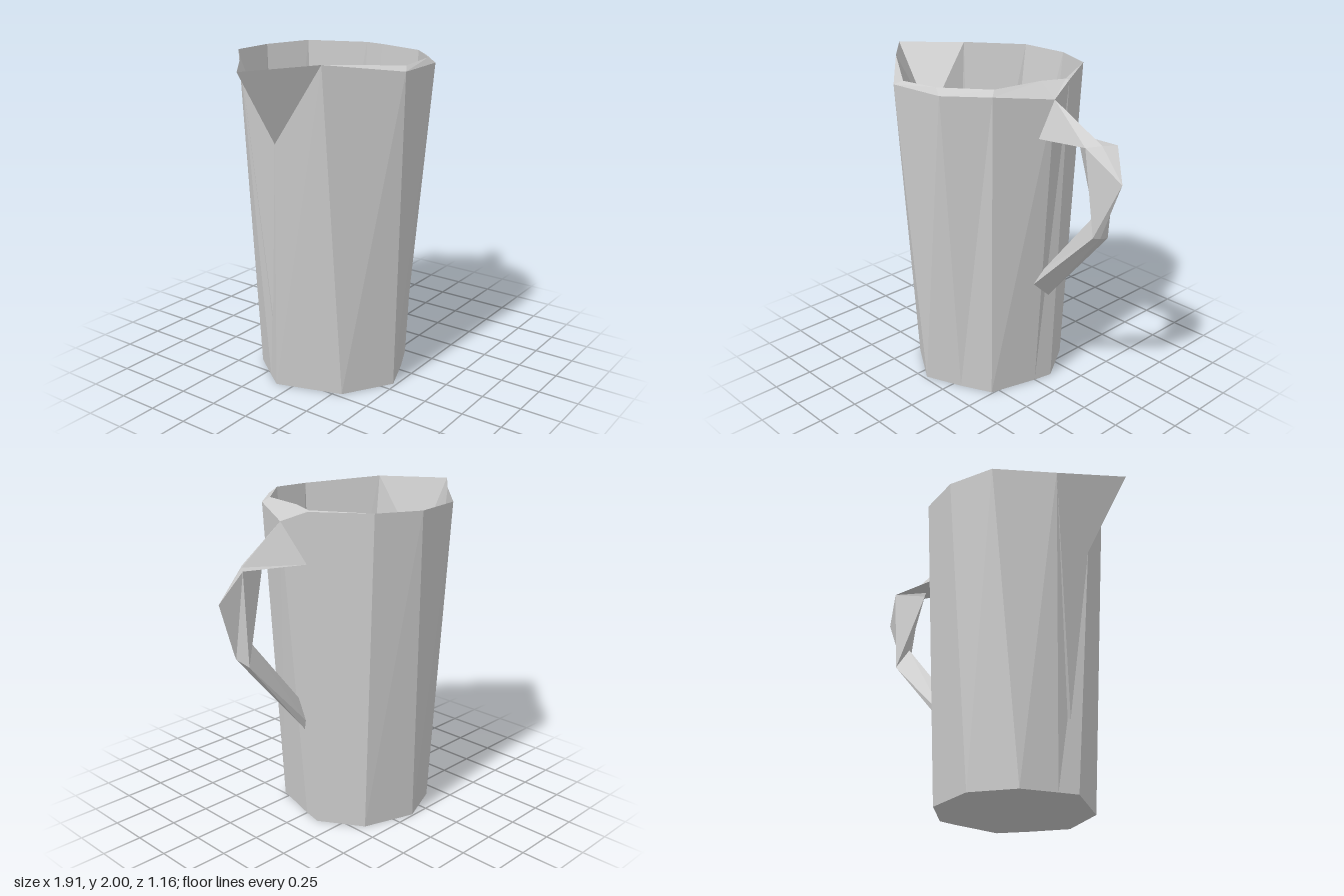
import * as THREE from 'three';

const material = new THREE.MeshStandardMaterial({ color: 0xcccccc, flatShading: true, side: THREE.DoubleSide });

function meshFrom(name, positions) {
  const geometry = new THREE.BufferGeometry();
  geometry.setAttribute('position', new THREE.Float32BufferAttribute(positions, 3));
  geometry.computeVertexNormals();
  const mesh = new THREE.Mesh(geometry, material);
  mesh.name = name;
  return mesh;
}

// Joins successive closed rings of [x, y, z] points with flat facets.
function loft(name, rings) {
  const positions = [];
  for (let r = 0; r < rings.length - 1; r++) {
    const n = rings[r].length;
    for (let i = 0; i < n; i++) {
      const j = (i + 1) % n;
      const a = rings[r][i], b = rings[r][j], c = rings[r + 1][j], d = rings[r + 1][i];
      positions.push(...a, ...b, ...c, ...a, ...c, ...d);
    }
  }
  return meshFrom(name, positions);
}

export function createModel() {
  const group = new THREE.Group();
  group.name = 'jug';

  // Outer rim, starting behind the spout and running round by the back and handle;
  // the last point is the low notch under the spout.
  const rim = [
    [-0.63, 1.99, -0.28], [-0.34, 1.98, -0.555], [-0.04, 1.975, -0.585], [0.23, 1.98, -0.47],
    [0.42, 1.97, -0.14], [0.47, 1.90, 0.03], [0.32, 1.945, 0.36], [0.10, 1.945, 0.55],
    [-0.26, 1.945, 0.58], [-0.62, 2.0, 0.28], [-0.67, 1.54, -0.01],
  ];
  // Inner lip, which only leaves the outer rim along the front and the handle side.
  const lip = rim.map((p) => [...p]);
  lip[4] = [0.40, 1.975, -0.13];
  lip[5] = [0.35, 1.98, 0.02];
  lip[6] = [0.29, 1.975, 0.32];
  lip[7] = [0.05, 1.98, 0.53];
  lip[8] = [-0.21, 1.97, 0.55];

  // Base corners and the slightly smaller floor inside.
  const base = [
    [-0.53, 0, -0.20], [-0.40, 0, -0.38], [-0.13, 0, -0.49], [0.19, 0, -0.38],
    [0.35, 0, -0.12], [0.325, 0, 0.0], [0.24, 0, 0.30], [0.05, 0, 0.39],
    [-0.18, 0, 0.48], [-0.47, 0, 0.30], [-0.60, 0, -0.10],
  ];
  const centre = (y) => base.map(() => [-0.13, y, 0]);
  const floor = base.map(([x, , z]) => [-0.13 + (x + 0.13) * 0.93, 0.03, z * 0.93]);

  // Floor, inner wall, lip, outer wall and underside in one skin.
  group.add(loft('body', [centre(0.03), floor, lip, rim, base, centre(0)]));

  // Pouring spout: two facets meeting in a keel.
  const tip = [-0.96, 1.98, -0.01], notch = rim[10];
  group.add(meshFrom('spout', [...tip, ...notch, ...rim[9], ...tip, ...rim[0], ...notch]));

  // Handle sections: outer, front, inner and back corner.
  const kneeFront = [0.73, 1.69, 0.06], kneeBack = [0.84, 1.70, -0.08];
  group.add(loft('handle', [
    [[0.47, 1.90, 0.03], [0.43, 1.68, 0.11], [0.41, 1.67, 0.0], [0.42, 1.67, -0.13]],
    [[0.79, 1.70, -0.01], kneeFront, [0.63, 1.685, 0.0], kneeBack],
    [[0.95, 1.52, 0.0], kneeFront, [0.64, 1.66, 0.0], kneeBack],
    [[0.83, 1.17, 0.02], [0.81, 1.18, 0.06], [0.76, 1.28, 0.0], [0.81, 1.14, -0.07]],
    [[0.38, 0.62, -0.05], [0.38, 0.74, 0.08], [0.38, 0.81, 0.0], [0.38, 0.68, -0.06]],
  ]));

  return group;
}
